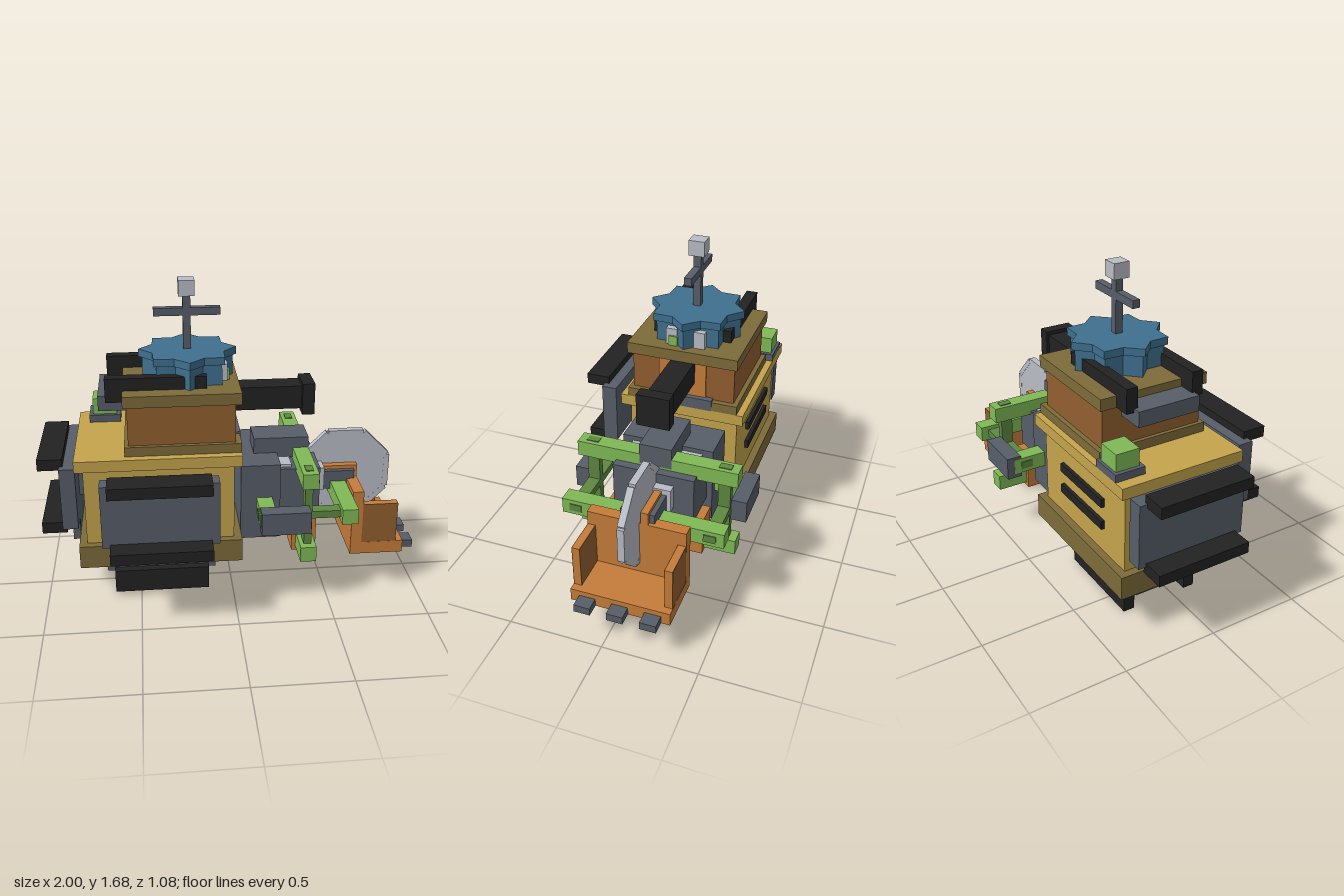
import * as THREE from 'three';

const mat = (name, color) => Object.assign(new THREE.MeshStandardMaterial({ color }), { name });
const gold = mat('gold', 0xc4a44c), olive = mat('olive', 0x7e6b3a), brown = mat('brown', 0x925f30);
const orange = mat('orange', 0xc67c3a), grey = mat('slate grey', 0x575e69), light = mat('light grey', 0xb9bdc5);
const black = mat('black', 0x222222), blue = mat('blue', 0x3f708f);
const green = mat('green', 0x80ba56), darkGreen = mat('dark green', 0x5e8841);

const CZ = -0.075; // centre plane of the body

export function createModel() {
  const root = new THREE.Group();
  root.name = 'diggerRobot';

  const group = (name) => {
    const g = new THREE.Group();
    g.name = name;
    root.add(g);
    return g;
  };
  // Box given by its limits on each axis
  const box = (parent, name, m, x0, x1, y0, y1, z0, z1) => {
    const mesh = new THREE.Mesh(new THREE.BoxGeometry(x1 - x0, y1 - y0, z1 - z0), m);
    mesh.position.set((x0 + x1) / 2, (y0 + y1) / 2, (z0 + z1) / 2);
    mesh.name = name;
    parent.add(mesh);
    return mesh;
  };
  // Two boxes mirrored about the centre plane
  const pair = (parent, name, m, x0, x1, y0, y1, z0, z1) => {
    box(parent, name, m, x0, x1, y0, y1, z0, z1);
    box(parent, name, m, x0, x1, y0, y1, 2 * CZ - z1, 2 * CZ - z0);
  };

  // Hull
  const hull = group('hull');
  box(hull, 'hullBase', olive, -0.81, 0.04, 0.24, 0.365, -0.41, 0.265);
  box(hull, 'hullBody', gold, -0.77, 0, 0.365, 0.79, -0.37, 0.225);
  box(hull, 'hullTrim', gold, -0.81, 0.04, 0.79, 0.85, -0.41, 0.265);
  for (const y of [0.5, 0.622]) box(hull, 'vent', black, -0.59, -0.19, y, y + 0.045, -0.39, -0.37);
  box(hull, 'crateBase', grey, -0.75, -0.58, 0.85, 0.89, -0.41, -0.25);
  box(hull, 'crate', green, -0.73, -0.6, 0.89, 0.98, -0.395, -0.27);

  // Turret
  const turret = group('turret');
  box(turret, 'turretBase', olive, -0.555, 0.04, 0.85, 0.9, -0.375, 0.222);
  box(turret, 'turretBody', brown, -0.535, 0.01, 0.9, 1.11, -0.35, 0.2);
  box(turret, 'turretFrontPlate', orange, 0.01, 0.018, 0.9, 1.11, -0.2, 0.055);
  box(turret, 'turretTop', olive, -0.555, 0.04, 1.11, 1.17, -0.37, 0.222);
  box(turret, 'turretLedge', grey, 0.005, 0.045, 0.85, 0.91, -0.24, 0.095);
  box(turret, 'rearBlock', grey, -0.68, -0.53, 1.05, 1.13, -0.245, 0.09);
  pair(turret, 'roofRail', black, -0.64, -0.13, 1.11, 1.235, 0.075, 0.135);
  box(turret, 'gunBarrel', black, 0.015, 0.385, 0.985, 1.11, -0.14, -0.015);
  box(turret, 'gunMuzzle', black, 0.38, 0.445, 0.96, 1.13, -0.155, 0.015);

  // Eight-pointed dome
  const dome = group('dome');
  const star = (name, outer, inner, y, h) => {
    const pts = [];
    for (let i = 0; i < 16; i++) {
      const r = i % 2 ? inner : outer, a = i * Math.PI / 8;
      pts.push(new THREE.Vector2(r * Math.cos(a), r * Math.sin(a)));
    }
    const geo = new THREE.ExtrudeGeometry(new THREE.Shape(pts), { depth: h, bevelEnabled: false });
    const mesh = new THREE.Mesh(geo.rotateX(-Math.PI / 2), blue);
    mesh.position.set(-0.215, y, CZ);
    mesh.name = name;
    dome.add(mesh);
  };
  star('domeWall', 0.235, 0.18, 1.17, 0.11);
  star('domeRoof', 0.253, 0.197, 1.28, 0.04);
  pair(dome, 'domeWindow', light, -0.06, -0.016, 1.17, 1.26, -0.03, 0.028);
  box(dome, 'domeLamp', green, -0.03, -0.005, 1.17, 1.222, -0.035, 0.012);

  // Mast
  const mast = group('mast');
  box(mast, 'mastPole', grey, -0.236, -0.196, 1.32, 1.6, -0.095, -0.055);
  box(mast, 'mastCrossbar', grey, -0.385, -0.045, 1.495, 1.535, -0.095, -0.055);
  box(mast, 'mastBeacon', light, -0.257, -0.175, 1.6, 1.68, -0.117, -0.033);

  // Skids: stem, plate and two runners below, at the side and behind
  const bottom = group('bottomSkid');
  box(bottom, 'stem', grey, -0.47, -0.3, 0.19, 0.24, -0.16, 0.01);
  box(bottom, 'plate', grey, -0.68, -0.09, 0.11, 0.195, -0.243, 0.095);
  pair(bottom, 'runner', black, -0.64, -0.13, 0, 0.13, 0.077, 0.138);
  const side = group('sideSkid');
  box(side, 'stem', grey, -0.47, -0.3, 0.54, 0.7, 0.225, 0.355);
  box(side, 'plate', grey, -0.68, -0.09, 0.45, 0.79, 0.352, 0.435);
  const rear = group('rearSkid');
  box(rear, 'stem', grey, -0.815, -0.77, 0.54, 0.7, -0.16, 0.01);
  box(rear, 'plate', grey, -0.89, -0.81, 0.45, 0.79, -0.37, 0.22);
  box(rear, 'lowerPlate', grey, -0.85, -0.81, 0.32, 0.45, -0.24, 0.095);
  for (const y of [0.41, 0.77]) {
    box(side, 'runner', black, -0.64, -0.13, y, y + 0.06, 0.41, 0.54);
    box(rear, 'runner', black, -1, -0.872, y, y + 0.06, -0.33, 0.18);
  }

  // Front mount
  const mount = group('frontMount');
  box(mount, 'mountPlate', grey, 0.04, 0.25, 0.32, 0.745, -0.32, 0.17);
  box(mount, 'mountPanel', light, 0.25, 0.315, 0.32, 0.72, -0.265, 0.115);
  box(mount, 'mountBeam', grey, 0.125, 0.42, 0.715, 0.83, -0.157, 0.013);
  box(mount, 'mountHead', grey, 0.25, 0.465, 0.45, 0.705, -0.29, 0.14);
  box(mount, 'mountApron', orange, 0.315, 0.445, 0.24, 0.45, -0.333, 0.183);
  pair(mount, 'sideArm', grey, 0.125, 0.38, 0.453, 0.575, 0.31, 0.39);

  // Thresher reel: crossed spokes carrying four bars
  const reel = group('reel');
  const rx = 0.378, ry = 0.517;
  pair(reel, 'uprightSpoke', darkGreen, rx - 0.02, rx + 0.02, ry - 0.257, ry + 0.257, 0.245, 0.309);
  pair(reel, 'levelSpoke', darkGreen, rx - 0.26, rx + 0.26, ry - 0.02, ry + 0.02, 0.245, 0.309);
  for (const [dx, dy] of [[0, 1], [0, -1], [1, 0], [-1, 0]]) {
    const x = rx + dx * 0.213, y = ry + dy * 0.211;
    box(reel, 'reelBar', green, x - 0.042, x + 0.042, y - 0.042, y + 0.042, -0.5, 0.35);
  }

  // Saw with eight edge teeth and its fork
  const saw = group('saw');
  const disc = new THREE.Mesh(
    new THREE.CylinderGeometry(0.254, 0.254, 0.034, 8).rotateY(Math.PI / 8).rotateX(Math.PI / 2), light);
  disc.material = light;
  disc.geometry = disc.geometry.toNonIndexed();
  disc.geometry.computeVertexNormals();
  disc.position.set(0.64, 0.578, CZ);
  disc.name = 'sawDisc';
  saw.add(disc);
  for (let i = 0; i < 8; i++) {
    const a = i * Math.PI / 4;
    const tooth = new THREE.Mesh(new THREE.BoxGeometry(0.03, 0.19, 0.036), light);
    tooth.position.set(0.64 + 0.235 * Math.cos(a), 0.578 + 0.235 * Math.sin(a), CZ);
    tooth.rotation.z = a;
    tooth.name = 'sawTooth';
    saw.add(tooth);
  }
  box(saw, 'forkBase', light, 0.46, 0.51, 0.52, 0.65, -0.185, 0.033);
  pair(saw, 'forkArm', orange, 0.51, 0.7, 0.57, 0.64, -0.05, -0.012);
  pair(saw, 'forkTine', grey, 0.51, 0.68, 0.515, 0.62, -0.028, 0.014);

  // Bucket with brown side panels and teeth
  const bucket = group('bucket');
  box(bucket, 'bucketFloor', orange, 0.64, 0.93, 0.195, 0.265, -0.333, 0.183);
  box(bucket, 'bucketBack', orange, 0.64, 0.7, 0.265, 0.495, -0.333, 0.183);
  box(bucket, 'bucketBackRim', orange, 0.64, 0.7, 0.495, 0.572, -0.333, 0.183);
  pair(bucket, 'bucketSide', orange, 0.7, 0.89, 0.265, 0.495, 0.144, 0.178);
  pair(bucket, 'bucketOuterPanel', brown, 0.7, 0.89, 0.265, 0.495, 0.178, 0.182);
  pair(bucket, 'bucketInnerPanel', brown, 0.7, 0.89, 0.265, 0.495, 0.14, 0.144);
  for (const z of [-0.245, CZ, 0.095])
    box(bucket, 'bucketTooth', grey, 0.93, 1, 0.195, 0.237, z - 0.042, z + 0.042);

  return root;
}
